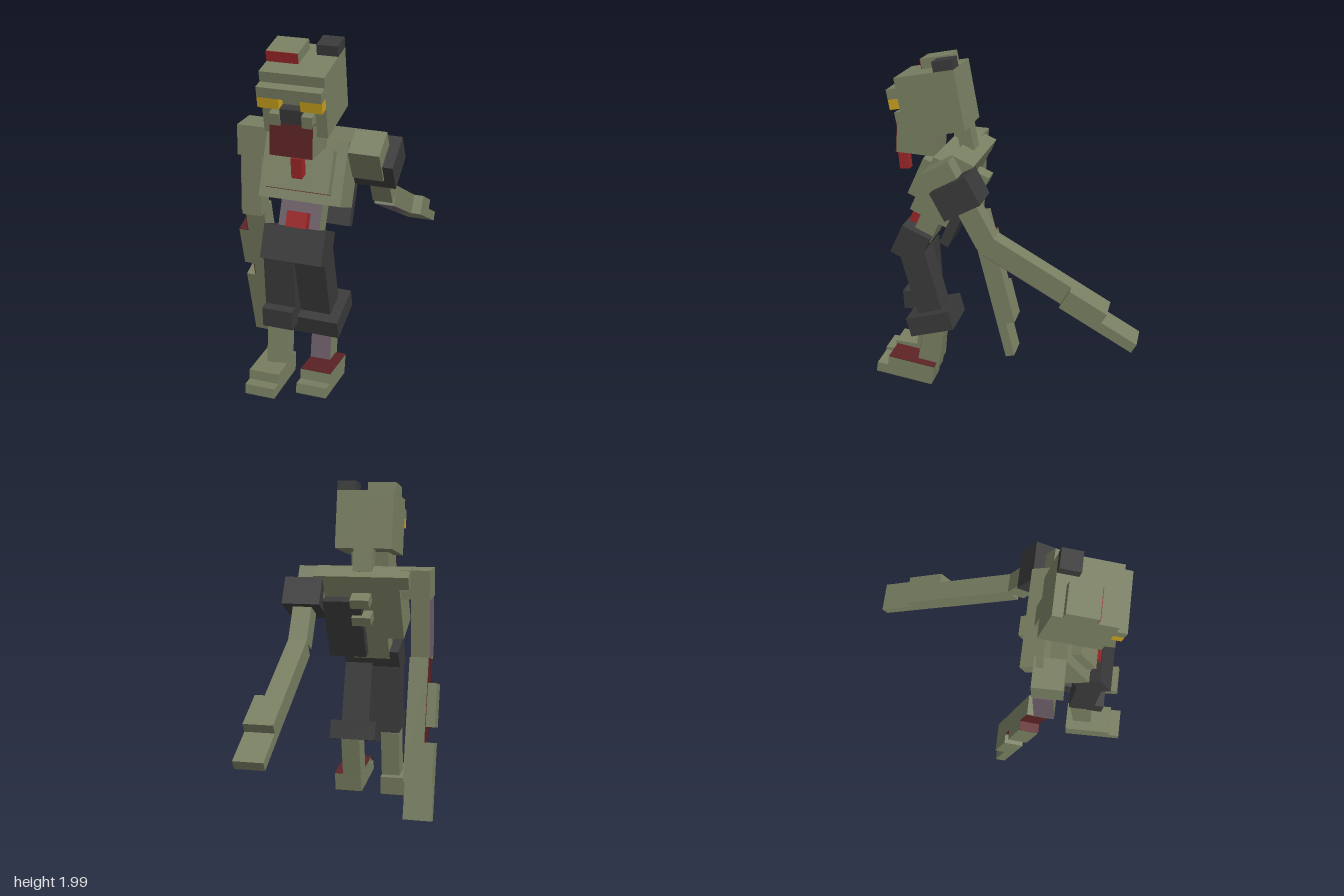
import * as THREE from 'three';

const V = 0.0575; // one block
const mat = (name, color) => {
  const m = new THREE.MeshStandardMaterial({ color });
  m.name = name;
  return m;
};

export function createModel() {
  const skin = mat('skin green', 0x797f62);
  const cloth = mat('charcoal cloth', 0x3a3a3b);
  const wound = mat('dark wound red', 0x5c2225);
  const red = mat('raw red', 0x9a2628);
  const yellow = mat('eye yellow', 0xc9a01e);
  const purple = mat('bruise purple', 0x6d5f68);
  const root = new THREE.Group();
  root.name = 'undeadFigure';

  // tilted frame: position in the side plane, lean in degrees (positive leans forward)
  const frame = (name, y, z, deg) => {
    const g = new THREE.Group();
    g.name = name;
    g.position.set(0, y, z);
    g.rotation.x = THREE.MathUtils.degToRad(deg);
    root.add(g);
    return g;
  };
  // box from ranges, in blocks
  const box = (g, name, m, [x0, x1], [y0, y1], [z0, z1]) => {
    const w = Math.abs(x1 - x0) * V;
    const mesh = new THREE.Mesh(new THREE.BoxGeometry(w, (y1 - y0) * V, (z1 - z0) * V), m);
    mesh.position.set((x0 + x1) * V / 2, (y0 + y1) * V / 2, (z0 + z1) * V / 2);
    mesh.name = name;
    g.add(mesh);
    return mesh;
  };
  const T = 0.06; // painted plate thickness in blocks

  // Head
  const head = frame('head', 1.746, 0.413, 10);
  box(head, 'skull', skin, [-3, 3], [-3, 3], [-3, 3]);
  box(head, 'brow', skin, [-3, 3], [1, 2], [3, 4]);
  box(head, 'neck', skin, [-1, 1], [-5.4, -3], [-3, -1.6]);
  box(head, 'nose', cloth, [-1, 1], [-2.6, 0], [3, 3.9]);
  for (const s of [-1, 1]) {
    box(head, 'eye', yellow, [s, 3 * s], [0, 1], [3, 4]);
    box(head, 'cheek', skin, [s, 2 * s], [-2, -0.5], [3, 4]);
  }
  box(head, 'scalpLump', skin, [-3, 0], [3, 4], [-2, 1]);
  box(head, 'scalpWound', wound, [-3, 0], [3, 4], [1, 1 + T]).material = red;
  box(head, 'hairTuft', cloth, [1, 3], [3, 4], [-3, -1]);

  // Open jaw and tongue
  const jaw = frame('jaw', 1.53, 0.51, -4);
  box(jaw, 'jawBone', skin, [-2, 2], [-1.5, 1.5], [-2, 2]);
  box(jaw, 'jawFlesh', wound, [-2, 2], [-1.5, 1.5], [2, 2 + T]);
  box(jaw, 'jawInside', wound, [-2, 2], [1.5, 1.5 + T], [-2, 2]);
  const mouth = frame('mouth', 1.395, 0.607, 5);
  box(mouth, 'tongue', red, [0, 1], [-1, 1], [-0.5, 0.5]);

  // Torso, leaning back
  const torso = frame('torso', 1.263, 0.349, -25);
  box(torso, 'chest', skin, [-4, 4], [-3, 3], [-2, 2]);
  box(torso, 'ribPlate', skin, [-3, 3], [-2, 2], [2, 3]);
  box(torso, 'ribWound', wound, [-3, 3], [-2 - T, -2], [2, 3]);
  box(torso, 'shoulderBar', skin, [-5, 5], [3, 4.4], [-2, 0.3]);
  box(torso, 'tornShirtBack', cloth, [0, 4], [-4.8, 2], [-3, -2]);
  box(torso, 'spineKnobUpper', skin, [-1, 1], [1.5, 2.5], [-3.5, -2]);
  box(torso, 'spineKnobLower', skin, [-1, 1], [-0.6, 0.4], [-3.5, -2]);
  box(torso, 'belly', skin, [-2, 2], [-6.3, -3], [-1, 1]);
  box(torso, 'bellyBruise', purple, [-2, 2], [-6, -3], [1, 1 + T]);
  box(torso, 'bellyGore', red, [-1, 1], [-6, -4], [1, 2]);

  // Shorts
  const pelvis = frame('pelvis', 0.91, 0.552, -25);
  box(pelvis, 'shortsTop', cloth, [-3, 3], [-1.6, 1.6], [-1.55, 1.55]);
  const thighL = frame('leftThigh', 0.68, 0.492, 15);
  box(thighL, 'shortsLeg', cloth, [0, 3], [-3.2, 3.2], [-1.3, 1.3]);
  const cuffL = frame('leftCuff', 0.446, 0.431, 15);
  box(cuffL, 'shortsCuff', cloth, [-1, 4], [-1, 1], [-2.3, 2.3]);
  const thighR = frame('rightThigh', 0.65, 0.535, 3);
  box(thighR, 'shortsLeg', cloth, [-3, 0], [-3.5, 3.5], [-1.3, 1.3]);
  const cuffR = frame('rightCuff', 0.49, 0.56, 3);
  box(cuffR, 'shortsCuff', cloth, [-3, 0], [-1, 1], [-1.7, 1.7]);

  // Shins
  const shinL = frame('leftShin', 0.28, 0.44, -10);
  box(shinL, 'shin', skin, [1, 3], [-2.6, 2.6], [-1.1, 1.1]);
  box(shinL, 'shinBruise', purple, [1, 3], [-2.6, 2.6], [1.1, 1.1 + T]);
  const shinR = frame('rightShin', 0.27, 0.54, -7);
  box(shinR, 'shin', skin, [-2, -1], [-3, 3], [-1, 0.8]);
  box(shinR, 'shinOuter', skin, [-3, -2], [-3, 3], [-1, 1]);

  // Feet: toe slab, instep and dark sole with a worn patch
  const foot = (name, y, z, deg, x, top) => {
    const g = frame(name, y, z, deg);
    box(g, 'toes', skin, x, [-0.5, 0.5], [-3, 3]);
    box(g, 'instep', skin, x, [0.5, 1.5], [-3, 1.9]);
    if (top) box(g, 'footWound', top, x, [1.5, 1.5 + T], [-3, 1.9]);
    box(g, 'sole', cloth, x, [-0.5 - T, -0.5], [-3, 3]);
    const patch = new THREE.Mesh(new THREE.CylinderGeometry(1, 1, 0.003, 8), skin);
    patch.scale.set(V, 1, V * 2);
    patch.position.set((x[0] + x[1]) * V / 2, -0.56 * V - 0.0015, 0);
    patch.name = 'wornPatch';
    g.add(patch);
  };
  foot('leftFoot', 0.108, 0.595, -9.5, [1, 4], wound);
  foot('rightFoot', 0.078, 0.632, -5, [-4, -1]);

  // Forearm hangs from the elbow; s is the side sign
  const forearm = (name, y, z, deg, s) => {
    const g = frame(name, y, z, deg);
    box(g, 'forearmBone', skin, [5 * s, 7 * s], [-12.8, 0], [-1, 1]);
    box(g, 'wristMuscle', skin, [7 * s, 8 * s], [-12.8, -8.7], [-1, 1]);
    box(g, 'fingers', skin, [5 * s, 8 * s], [-16.7, -12.8], [0, 1]);
    return g;
  };

  // Right arm, hanging
  const shoulderR = frame('rightShoulder', 1.4, 0.3, -3);
  box(shoulderR, 'shoulder', skin, [-7, -4], [-1.5, 1.5], [-1.5, 1.5]);
  box(shoulderR, 'upperArm', skin, [-7, -5], [-8, -1.5], [-1.4, 0.6]);
  box(shoulderR, 'armBruise', purple, [-7 - T, -7], [-7.6, -1.5], [-1.4, 0.6]);
  const armR = forearm('rightForearm', 0.957, 0.259, 14, -1);
  box(armR, 'forearmMuscle', skin, [-8, -7], [-7.1, -2.6], [-1, 1]);
  box(armR, 'muscleWound', wound, [-8, -7], [-2.6, -2.6 + T], [-1, 1]);
  box(armR, 'forearmWound', wound, [-7 - T, -7], [-8.7, 0], [-1, 1]);

  // Left arm, stretched backward, with torn sleeve
  const shoulderL = frame('leftShoulder', 1.365, 0.28, 28);
  box(shoulderL, 'shoulder', skin, [4, 7], [-1.8, 1.8], [-1.5, 1.5]);
  const sleeve = frame('leftSleeve', 1.307, 0.204, 28);
  box(sleeve, 'sleeve', cloth, [4, 8], [-1.5, 1.5], [-1.95, 1.95]);
  const upperL = frame('leftUpperArm', 1.175, 0.122, 28);
  box(upperL, 'upperArm', skin, [5, 7], [-2.7, 2.7], [-1, 1]);
  const armL = forearm('leftForearm', 1.03, 0.037, 60, 1);
  box(armL, 'forearmBruise', purple, [5, 7], [-8.7, 0], [1, 1 + T]);

  return root;
}
